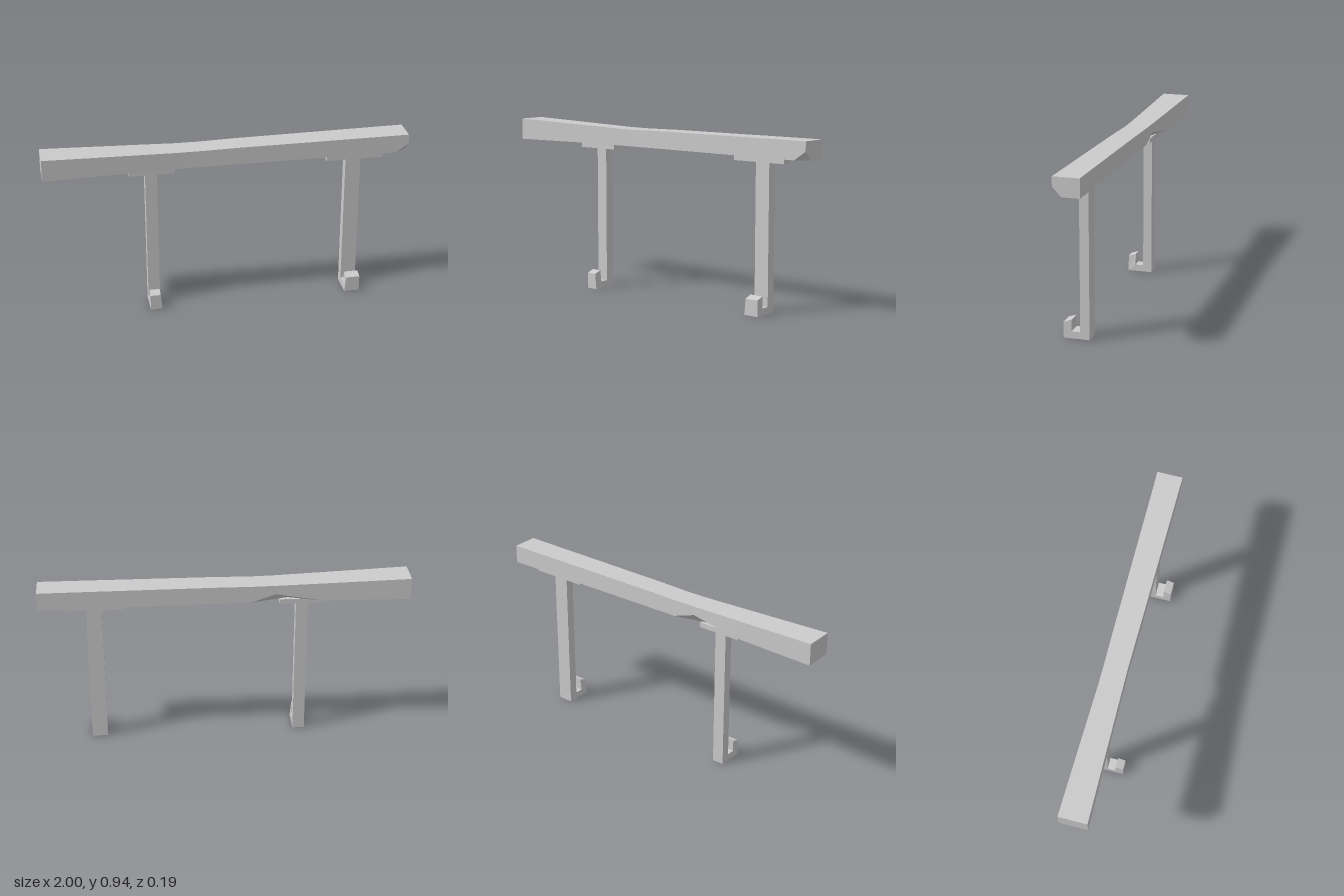
import * as THREE from 'three';

const material = new THREE.MeshStandardMaterial({ color: 0xcccccc, flatShading: true });

// One six-cornered beam section; the lower corners can be chipped at the back or front.
function section(x, yLow, yHigh, zBack, zFront, chip = {}) {
  const { back, front } = chip;
  return [
    [x, yHigh, zFront],
    [x, yHigh, zBack],
    back ? [x, back.y, zBack] : [x, yLow, zBack],
    back ? [back.x, yLow, back.z] : [x, yLow, zBack],
    front ? [x, yLow, front.z] : [x, yLow, zFront],
    front ? [x, front.y, zFront] : [x, yLow, zFront],
  ];
}

// Skin a row of sections and close both ends.
function loft(rings) {
  const pos = [];
  const tri = (a, b, c) => pos.push(...a, ...b, ...c);
  const n = rings[0].length;
  for (let i = 0; i < rings.length - 1; i++) {
    for (let j = 0; j < n; j++) {
      const k = (j + 1) % n;
      tri(rings[i][j], rings[i + 1][k], rings[i][k]);
      tri(rings[i][j], rings[i + 1][j], rings[i + 1][k]);
    }
  }
  const last = rings[rings.length - 1];
  for (let j = 1; j < n - 1; j++) {
    tri(rings[0][0], rings[0][j], rings[0][j + 1]);
    tri(last[0], last[j + 1], last[j]);
  }
  const geometry = new THREE.BufferGeometry();
  geometry.setAttribute('position', new THREE.Float32BufferAttribute(pos, 3));
  geometry.computeVertexNormals();
  return geometry;
}

// Upright with an upturned hook at its foot; the hook tip narrows on one side.
function hookGeometry(x0, x1, taperSide) {
  const profile = [
    [-0.045, 0], [0.095, 0], [0.095, 0.087], [0.052, 0.102],
    [0.052, 0.038], [0.005, 0.038], [0.005, 0.8], [-0.045, 0.8],
  ];
  const shape = new THREE.Shape(profile.map(([z, y]) => new THREE.Vector2(z, y)));
  const geometry = new THREE.ExtrudeGeometry(shape, { depth: x1 - x0, bevelEnabled: false });
  geometry.rotateY(-Math.PI / 2).translate(x1, 0, 0);
  const p = geometry.attributes.position;
  const middle = (x0 + x1) / 2;
  for (let i = 0; i < p.count; i++) {
    const onSide = (p.getX(i) - middle) * taperSide > 0;
    if (onSide && p.getZ(i) > 0.05 && p.getY(i) > 0.08) p.setX(i, p.getX(i) - taperSide * 0.008);
  }
  geometry.computeVertexNormals();
  return geometry;
}

export function createModel() {
  const group = new THREE.Group();
  const add = (name, geometry) => {
    const mesh = new THREE.Mesh(geometry, material);
    mesh.name = name;
    group.add(mesh);
    return mesh;
  };

  // Hewn beam, thicker at one end, with a gouge behind and a chipped end corner
  add('beam', loft([
    section(-1, 0.82, 0.94, -0.095, 0.06),
    section(-0.53, 0.825, 0.927, -0.087, 0.051),
    section(-0.27, 0.826, 0.92, -0.082, 0.046, { back: { x: -0.34, y: 0.87, z: -0.035 } }),
    section(-0.14, 0.826, 0.919, -0.082, 0.044),
    section(0.05, 0.826, 0.922, -0.084, 0.046),
    section(0.93, 0.824, 0.925, -0.088, 0.052),
    section(1, 0.824, 0.925, -0.089, 0.053, { front: { y: 0.873, z: 0.006 } }),
  ]));

  // Mounting plates and hooked uprights
  const hangers = [
    { side: 'right', plate: [-0.54, -0.295], post: [-0.45, -0.385], taper: 1 },
    { side: 'left', plate: [0.545, 0.86], post: [0.66, 0.745], taper: -1 },
  ];
  for (const { side, plate, post, taper } of hangers) {
    const mount = add(`${side}Plate`, new THREE.BoxGeometry(plate[1] - plate[0], 0.028, 0.1));
    mount.position.set((plate[0] + plate[1]) / 2, 0.813, -0.01);
    add(`${side}HookedPost`, hookGeometry(post[0], post[1], taper));
  }
  return group;
}
